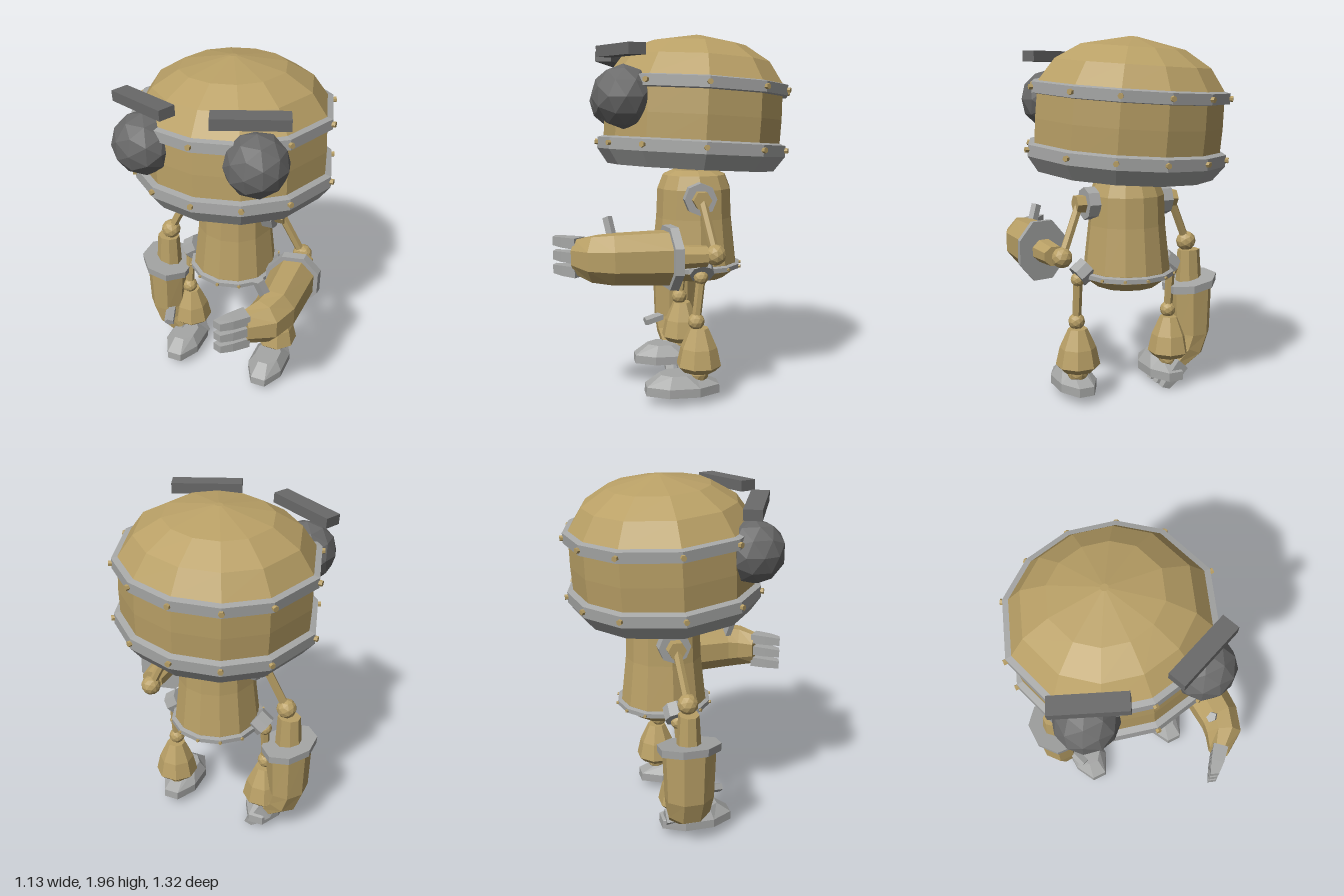
import * as THREE from 'three';

const mat = (name, color) => new THREE.MeshStandardMaterial({ name, color, flatShading: true });
const V = (x, y, z) => new THREE.Vector3(x, y, z);
const deg = (list) => list.map((a) => (a * Math.PI) / 180);
const TWELVE = deg([0, 27, 54, 90, 126, 153, 180, 207, 234, 270, 306, 333]);
const EIGHT = deg([22.5, 67.5, 112.5, 157.5, 202.5, 247.5, 292.5, 337.5]);
const FOUR = deg([45, 135, 225, 315]);

// Closed cross-section; tilt raises its +x side
const ring = (angles, cx, cy, cz, hx, hz, tilt = 0) => angles.map((a) => V(
  cx + hx * Math.sin(a) * Math.cos(tilt),
  cy + hx * Math.sin(a) * Math.sin(tilt),
  cz + hz * Math.cos(a)));

// Skin over rings listed from bottom to top, with both ends capped
function loft(rings) {
  const n = rings[0].length, pos = [], idx = [];
  rings.forEach((r) => r.forEach((p) => pos.push(p.x, p.y, p.z)));
  for (let i = 0; i < rings.length - 1; i++) {
    for (let j = 0; j < n; j++) {
      const a = i * n + j, b = i * n + ((j + 1) % n);
      idx.push(a, b, b + n, a, b + n, a + n);
    }
  }
  const top = (rings.length - 1) * n;
  for (let j = 1; j < n - 1; j++) {
    idx.push(0, j + 1, j);
    idx.push(top, top + j, top + j + 1);
  }
  const g = new THREE.BufferGeometry();
  g.setAttribute('position', new THREE.Float32BufferAttribute(pos, 3));
  g.setIndex(idx);
  g.computeVertexNormals();
  return g;
}

// Upright loft from [radius, y] pairs
const turned = (angles, profile, sx = 1, sz = 1) =>
  loft(profile.map(([r, y]) => ring(angles, 0, y, 0, r * sx, r * sz)));

export function createModel() {
  const gold = mat('brass', 0xb9a066);
  const grey = mat('light steel', 0xa6a7a6);
  const dark = mat('dark steel', 0x696969);
  const root = new THREE.Group();

  const add = (parent, name, geo, material, x = 0, y = 0, z = 0) => {
    const m = new THREE.Mesh(geo, material);
    m.name = name;
    m.position.set(x, y, z);
    parent.add(m);
    return m;
  };
  const ball = (parent, name, r, material, x, y, z) =>
    add(parent, name, new THREE.IcosahedronGeometry(r, 1), material, x, y, z);
  const rod = (parent, name, a, b, r, material, sides = 6) => {
    const d = b.clone().sub(a), c = a.clone().add(b).multiplyScalar(0.5);
    const m = add(parent, name, new THREE.CylinderGeometry(r, r, d.length(), sides), material, c.x, c.y, c.z);
    m.quaternion.setFromUnitVectors(V(0, 1, 0), d.normalize());
    return m;
  };
  const rivets = (parent, y, r, size, sx, sz) => TWELVE.forEach((a) => {
    const at = (k) => V(Math.sin(a) * (r + k) * sx, y, Math.cos(a) * (r + k) * sz);
    rod(parent, 'rivet', at(-size), at(size), size, gold);
  });

  // Head, slightly turned and tipped
  const head = new THREE.Group();
  head.name = 'head';
  head.position.set(0, 1.4, -0.125);
  head.rotation.set(-0.055, -0.045, 0.045);
  root.add(head);
  const sx = 1.02, sz = 0.975;
  add(head, 'skull', turned(TWELVE, [
    [0.5, -0.03], [0.505, 0.15], [0.5, 0.34], [0.42, 0.455], [0.28, 0.54], [0.02, 0.593],
  ], sx, sz), gold);
  add(head, 'jawBand', turned(TWELVE, [
    [0.475, -0.125], [0.535, -0.045], [0.535, 0.015], [0.5, 0.025],
  ], sx, sz), grey);
  add(head, 'browBand', turned(TWELVE, [
    [0.5, 0.275], [0.53, 0.28], [0.53, 0.335], [0.495, 0.343],
  ], sx, sz), grey);
  rivets(head, -0.012, 0.535, 0.015, sx, sz);
  rivets(head, 0.308, 0.53, 0.015, sx, sz);

  // Eyes and brows
  ball(root, 'rightEye', 0.165, dark, -0.34, 1.635, 0.255);
  ball(root, 'leftEye', 0.165, dark, 0.275, 1.66, 0.28);
  const rightBrow = add(root, 'rightBrow', new THREE.BoxGeometry(0.38, 0.055, 0.095), dark, -0.325, 1.865, 0.27);
  rightBrow.rotation.set(0, -0.44, 0.08);
  const leftBrow = add(root, 'leftBrow', new THREE.BoxGeometry(0.38, 0.058, 0.095), dark, 0.245, 1.894, 0.292);
  leftBrow.rotation.set(0, 0.37, 0);

  // Neck and body
  const body = new THREE.Group();
  body.name = 'body';
  body.position.set(0, 0, -0.135);
  root.add(body);
  add(body, 'neck', new THREE.CylinderGeometry(0.07, 0.07, 0.1, 8), gold, 0, 1.27, 0);
  add(body, 'torso', turned(TWELVE, [
    [0.17, 0.66], [0.235, 0.71], [0.24, 0.75], [0.212, 1.0], [0.205, 1.16], [0.175, 1.235], [0.12, 1.26],
  ]), gold);
  add(body, 'waistBand', turned(TWELVE, [
    [0.235, 0.712], [0.262, 0.718], [0.262, 0.742], [0.235, 0.75],
  ]), grey);
  rivets(body, 0.73, 0.262, 0.009, 1, 1);

  // Forearm and hand hanging from the elbow; s is the body side
  function forearm(s) {
    const g = new THREE.Group();
    g.name = s > 0 ? 'leftForearm' : 'rightForearm';
    const sec = (angles, x, d, hx, hz, tilt, z = 0) => ring(angles, s * x, -d, z, hx, hz, s * tilt);
    ball(g, 'elbow', 0.056, gold, 0, 0, 0);
    add(g, 'elbowSleeve', loft([
      sec(EIGHT, 0.022, 0.3, 0.08, 0.07, 0), sec(EIGHT, 0.018, 0.05, 0.065, 0.055, 0),
    ]), gold);
    add(g, 'cuff', loft([
      sec(EIGHT, 0.025, 0.262, 0.152, 0.172, 0.2), sec(EIGHT, 0.025, 0.218, 0.155, 0.175, 0.2),
    ]), grey);
    add(g, 'gauntlet', loft([
      sec(EIGHT, -0.075, 0.705, 0.058, 0.098, -0.75),
      sec(EIGHT, 0, 0.625, 0.102, 0.125, -0.42),
      sec(EIGHT, 0.028, 0.53, 0.113, 0.137, 0),
      sec(EIGHT, 0.025, 0.25, 0.128, 0.147, 0.2),
    ]), gold);
    for (const z of [0.07, -0.005, -0.078]) {
      add(g, 'finger', loft([
        sec(FOUR, -0.175, 0.822, 0.034, 0.032, -0.35, z),
        sec(FOUR, -0.125, 0.765, 0.05, 0.038, -0.75, z),
        sec(FOUR, -0.065, 0.695, 0.058, 0.04, -0.75, z),
      ]), grey);
    }
    const thumb = rod(g, 'thumb', V(-s * 0.02, -0.53, 0.08), V(-s * 0.06, -0.555, 0.2), 0.032, grey, 5);
    thumb.scale.set(1, 1, 0.8);
    return g;
  }

  for (const s of [1, -1]) {
    // Shoulder and upper arm
    const elbow = V(s * 0.395, s > 0 ? 0.85 : 0.86, s > 0 ? -0.18 : -0.1);
    rod(root, 'shoulderRing', V(s * 0.185, 1.12, -0.13), V(s * 0.248, 1.12, -0.13), 0.088, grey, 8);
    rod(root, 'shoulderPin', V(s * 0.23, 1.12, -0.13), V(s * 0.3, 1.12, -0.13), 0.05, gold, 6);
    rod(root, 'upperArm', V(s * 0.275, 1.12, -0.13), elbow, 0.024, gold);
    const arm = forearm(s);
    arm.position.copy(elbow);
    if (s > 0) arm.rotation.x = -Math.PI / 2;
    root.add(arm);

    // Hip, leg and foot
    const x = s * 0.283, z = -0.11;
    rod(root, 'hipRing', V(s * 0.225, 0.775, -0.13), V(s * 0.288, 0.725, -0.13), 0.066, grey, 8);
    ball(root, 'hip', 0.04, gold, x, 0.71, -0.125);
    rod(root, 'thigh', V(x, 0.71, -0.125), V(x, 0.47, -0.1), 0.025, gold);
    ball(root, 'knee', 0.046, gold, x, 0.47, -0.1);
    add(root, 'shin', turned(EIGHT, [
      [0.09, 0.2], [0.122, 0.232], [0.1, 0.33], [0.052, 0.435],
    ]), gold, x, 0, -0.115);
    ball(root, 'ankle', 0.06, gold, x, 0.185, z);
    add(root, 'foot', loft([
      ring(EIGHT, 0, 0.08, -0.025, 0.113, 0.215),
      ring(EIGHT, 0, 0.128, -0.025, 0.113, 0.212),
      ring(EIGHT, 0, 0.188, 0.0, 0.075, 0.1),
    ]), grey, s * 0.275, 0, 0);
  }
  return root;
}
